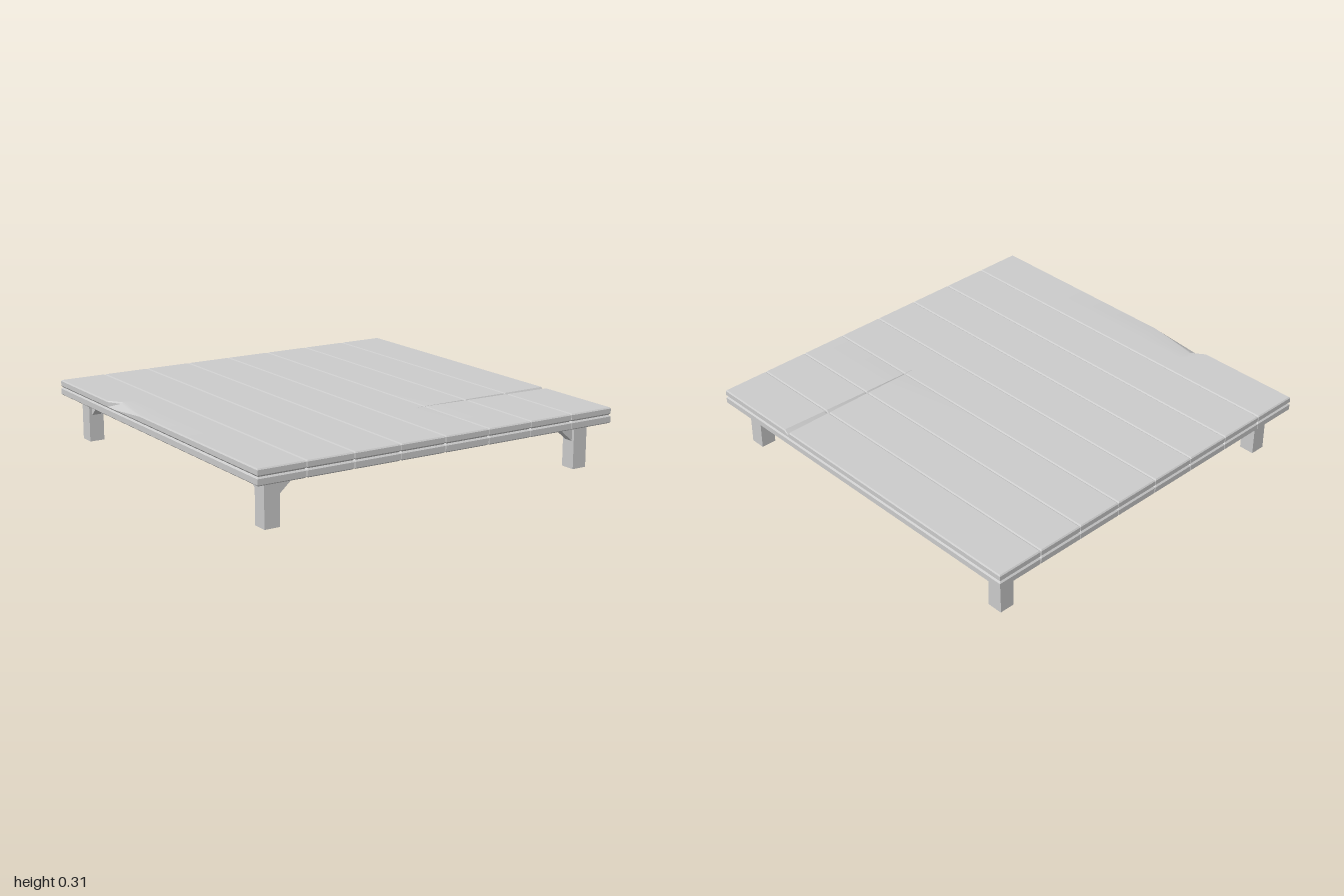
import * as THREE from 'three';
import { toCreasedNormals } from 'three/addons/utils/BufferGeometryUtils.js';

const TOP = 0.308, BOTTOM = 0.228, TIP = 0.18, PLANKS = 8;
const material = new THREE.MeshStandardMaterial({ color: 0xcccccc });

// Plank cross-section from bottom to top: [height, inset], pinched at mid height
const PROFILE = [
  [BOTTOM, 0.007], [0.234, 0], [0.262, 0], [0.27, 0.007],
  [0.278, 0], [0.302, 0], [TOP, 0.005],
];

// Crack opening, 0 at its tip and 1 at the table edge
const crackWidth = (x) => Math.max(0, (x - TIP) / (1 - TIP));

// Stations along a plank edge: z, and how deep the crack or the chip is there
function stations(x) {
  const w = crackWidth(x);
  return [
    { z: -1 }, { z: -0.45 }, { z: -0.38, chip: 0.05 }, { z: -0.1 },
    { z: 0.49 - 0.008 * w }, { z: 0.49 + 0.006 * w, crack: 0.022 * Math.sqrt(w) },
    { z: 0.49 + 0.03 * w }, { z: 1 },
  ];
}

// One edge of a plank at a given profile level
function edge(x, side, [y, inset], level) {
  return stations(x).map(({ z, crack = 0, chip = 0 }) => {
    const bite = x === -1 && level >= 5 ? chip * (level === 5 ? 0.8 : 1) : 0;
    return [
      x - side * inset + bite,
      Math.min(y, TOP - crack),
      Math.abs(z) === 1 ? z * (1 - inset) : z,
    ];
  });
}

function plankGeometry(x0, x1) {
  const pos = [];
  const quad = (a, b, c, d) => pos.push(...a, ...b, ...c, ...a, ...c, ...d);
  const gap = 0.002;
  const left = x0 === -1 ? x0 : x0 + gap;
  const right = x1 === 1 ? x1 : x1 - gap;
  const lefts = PROFILE.map((p, i) => edge(left, -1, p, i));
  const rights = PROFILE.map((p, i) => edge(right, 1, p, i));

  // Sides between neighbouring profile levels
  const rings = lefts.map((l, i) => [...l, ...[...rights[i]].reverse()]);
  for (let r = 0; r < rings.length - 1; r++) {
    const lo = rings[r], hi = rings[r + 1];
    lo.forEach((p, i) => {
      const j = (i + 1) % lo.length;
      quad(p, lo[j], hi[j], hi[i]);
    });
  }

  // Top, with a middle column so that the crack can end inside a plank
  const last = PROFILE.length - 1;
  const midX = TIP > x0 && TIP < x1 ? TIP : (x0 + x1) / 2;
  const columns = [lefts[last], edge(midX, 0, PROFILE[last], last), rights[last]];
  columns[1].forEach((p, k) => { p[2] = Math.abs(p[2]) > 0.9 ? columns[0][k][2] : p[2]; });
  for (let c = 0; c < 2; c++) {
    const a = columns[c], b = columns[c + 1];
    for (let k = 0; k < a.length - 1; k++) quad(a[k], a[k + 1], b[k + 1], b[k]);
  }

  // Underside
  const a = lefts[0], b = rights[0];
  for (let k = 0; k < a.length - 1; k++) quad(a[k], b[k], b[k + 1], a[k + 1]);

  const geometry = new THREE.BufferGeometry();
  geometry.setAttribute('position', new THREE.Float32BufferAttribute(pos, 3));
  return toCreasedNormals(geometry, 0.4);
}

// Triangular wedge from the leg's face up to the underside, running along +x
function braceGeometry() {
  const shape = new THREE.Shape([
    new THREE.Vector2(0.03, 0.13), new THREE.Vector2(0.04, 0.14),
    new THREE.Vector2(0.145, 0.232), new THREE.Vector2(0.03, 0.232),
  ]);
  return new THREE.ExtrudeGeometry(shape, { depth: 0.05, bevelEnabled: false })
    .translate(0, 0, -0.025);
}

export function createModel() {
  const model = new THREE.Group();
  model.name = 'lowPlankTable';
  const add = (parent, geometry, name) => {
    const mesh = new THREE.Mesh(geometry, material);
    mesh.name = name;
    parent.add(mesh);
    return mesh;
  };

  // Tabletop
  const tabletop = new THREE.Group();
  tabletop.name = 'tabletop';
  model.add(tabletop);
  for (let i = 0; i < PLANKS; i++) {
    const x = -1 + (2 * i) / PLANKS;
    add(tabletop, plankGeometry(x, x + 2 / PLANKS), `plank${i + 1}`);
  }

  // Four corner legs, each with two braces pointing inwards
  const legGeometry = new THREE.BoxGeometry(0.08, 0.234, 0.08).translate(0, 0.117, 0);
  const brace = braceGeometry();
  for (const sx of [-1, 1]) {
    for (const sz of [-1, 1]) {
      const corner = new THREE.Group();
      corner.name = `${sz > 0 ? 'front' : 'back'}${sx > 0 ? 'Left' : 'Right'}Leg`;
      corner.position.set(sx * 0.88, 0, sz * 0.88);
      add(corner, legGeometry, 'leg');
      add(corner, brace, 'sideBrace').rotation.y = sx > 0 ? Math.PI : 0;
      add(corner, brace, 'depthBrace').rotation.y = sz * Math.PI / 2;
      model.add(corner);
    }
  }
  return model;
}
